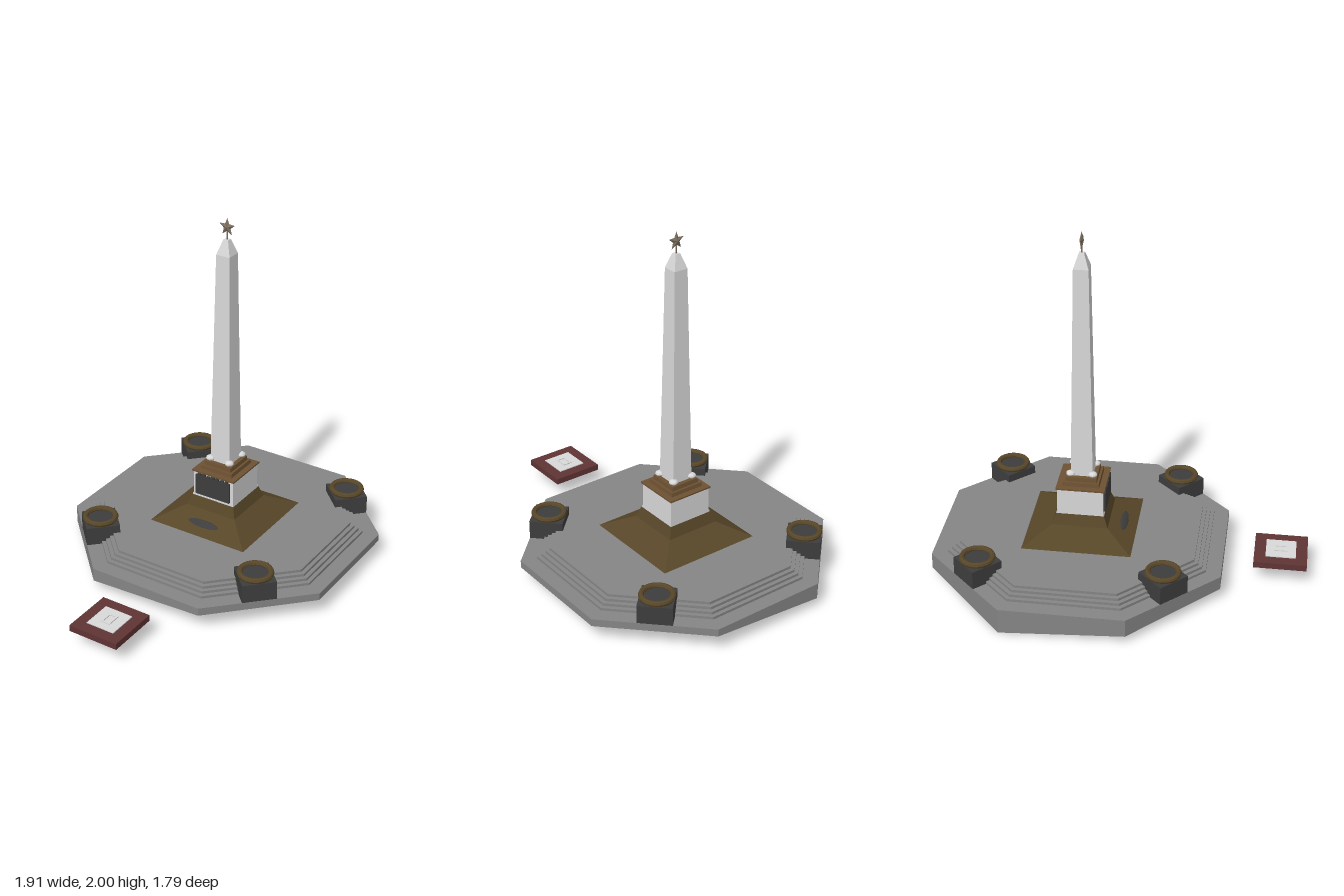
import * as THREE from 'three';

const paint = (name, color) => {
  const m = new THREE.MeshStandardMaterial({ color });
  m.name = name;
  m.flatShading = true;
  m.side = THREE.DoubleSide;
  return m;
};

export function createModel() {
  const stone = paint('grey stone', 0x858585);
  const marble = paint('pale marble', 0xd8d8d8);
  const bronze = paint('dark bronze', 0x574628);
  const cornice = paint('brown cornice', 0x6e5233);
  const dark = paint('dark granite', 0x3d3d3d);
  const red = paint('red granite', 0x603434);
  const metal = paint('star metal', 0x7d7060);

  const root = new THREE.Group();
  root.name = 'obeliskMonument';
  const turn = THREE.MathUtils.degToRad(-4.5);
  const addGroup = (parent, name, x, y, z, ry = 0) => {
    const g = new THREE.Group();
    g.name = name;
    g.position.set(x, y, z);
    g.rotation.y = ry;
    parent.add(g);
    return g;
  };
  const add = (parent, name, geo, mat, x = 0, y = 0, z = 0) => {
    const m = new THREE.Mesh(geo, mat);
    m.name = name;
    m.position.set(x, y, z);
    parent.add(m);
    return m;
  };
  // Closed strip of quads between consecutive rings of points
  const strip = (rings) => {
    const pos = [];
    for (let r = 0; r + 1 < rings.length; r++) {
      const a = rings[r], b = rings[r + 1], n = a.length;
      for (let i = 0; i < n; i++) {
        const j = (i + 1) % n;
        pos.push(...a[i], ...b[i], ...a[j], ...a[j], ...b[i], ...b[j]);
      }
    }
    const g = new THREE.BufferGeometry();
    g.setAttribute('position', new THREE.Float32BufferAttribute(pos, 3));
    g.computeVertexNormals();
    return g;
  };
  // Square tier with its corners on the x and z axes
  const tier = (parent, name, mat, r0, r1, y0, y1, open = false) =>
    add(parent, name, new THREE.CylinderGeometry(r1, r0, y1 - y0, 4, 1, open), mat, 0, (y0 + y1) / 2, 0);

  const main = addGroup(root, 'monument', 0.115, 0, -0.054, turn);

  // Octagonal platform: sloping foot, wall and four steps, open below
  const foot = [0.105, 0.105, 0.105, 0.103, 0.07, 0.045, 0, 0.055];
  const octagon = (r, y) => foot.map((f, i) => {
    const a = THREE.MathUtils.degToRad(Math.floor(i / 2) * 90 + (i % 2 ? 22.1 : -22.1));
    return [r * Math.cos(a), y ?? f, r * Math.sin(a)];
  });
  const rings = [octagon(0.882), octagon(0.882, 0.148)];
  for (let i = 0; i < 4; i++) {
    const r = 0.79 - i * 0.024, y = 0.148 + i * 0.015;
    rings.push(octagon(r, y), octagon(r, y + 0.015));
  }
  add(main, 'steppedPlatform', strip(rings), stone);

  // Platform floor with the opening beneath the hollow base
  const floor = new THREE.Shape(octagon(0.718, 0).map(([x, , z]) => new THREE.Vector2(x, z)));
  const diamond = (r) => [[r, 0], [0, r], [-r, 0], [0, -r]].map(([x, y]) => new THREE.Vector2(x, y));
  floor.holes.push(new THREE.Path(diamond(0.435)));
  add(main, 'platformFloor', new THREE.ShapeGeometry(floor).rotateX(-Math.PI / 2), stone, 0, 0.208, 0);

  // Four corner bowls on blocks
  for (let i = 0; i < 4; i++) {
    const a = i * Math.PI / 2;
    const g = addGroup(main, 'bowlStand', 0.722 * Math.cos(a), 0, 0.722 * Math.sin(a));
    add(g, 'standBlock', new THREE.BoxGeometry(0.19, 0.13, 0.19), dark, 0, 0.19, 0);
    add(g, 'bowlFloor', new THREE.CylinderGeometry(0.082, 0.082, 0.01, 24), dark, 0, 0.259, 0);
    add(g, 'bowlRim', new THREE.TorusGeometry(0.085, 0.016, 8, 24).rotateX(Math.PI / 2), bronze, 0, 0.269, 0);
  }

  // Hollow base, pedestal and cornice
  tier(main, 'slopedBase', bronze, 0.44, 0.225, 0.206, 0.287, true);
  tier(main, 'upperBase', bronze, 0.225, 0.192, 0.287, 0.35, true);
  tier(main, 'plinth', marble, 0.19, 0.19, 0.347, 0.36, true);
  tier(main, 'pedestal', marble, 0.184, 0.184, 0.355, 0.503, true);
  tier(main, 'corniceSlab', cornice, 0.195, 0.195, 0.503, 0.512);
  tier(main, 'corniceMiddle', cornice, 0.147, 0.143, 0.512, 0.535);
  tier(main, 'corniceTop', cornice, 0.125, 0.122, 0.535, 0.56);

  // Obelisk shaft and truncated tip
  tier(main, 'shaft', marble, 0.088, 0.059, 0.56, 1.8, true);
  tier(main, 'shaftTip', marble, 0.059, 0.021, 1.8, 1.882);

  // Rounded feet at the shaft corners
  for (let i = 0; i < 4; i++) {
    const a = i * Math.PI / 2;
    add(main, 'shaftFoot', new THREE.SphereGeometry(0.026, 10, 6).scale(1, 0.6, 1), marble,
      0.088 * Math.cos(a), 0.575, 0.088 * Math.sin(a));
  }

  // Relief panel with an uneven top, and a wreath on the slope below
  const face = addGroup(main, 'memorialFace', 0, 0, 0, -Math.PI / 4);
  add(face, 'reliefPanel', new THREE.BoxGeometry(0.222, 0.122, 0.012), dark, 0, 0.428, 0.136);
  [0.008, 0.014, 0.006, 0.012, 0.015, 0.009, 0.013].forEach((h, i) =>
    add(face, 'reliefFigure', new THREE.BoxGeometry(0.02, h, 0.012), dark, -0.09 + i * 0.03, 0.489 + h / 2, 0.136));
  const wreath = add(face, 'wreath', new THREE.SphereGeometry(1, 16, 8).scale(0.1, 0.006, 0.024),
    dark, 0, 0.246, 0.235);
  wreath.rotation.x = 0.49;

  // Faceted star on a short rod
  add(main, 'starRod', new THREE.CylinderGeometry(0.004, 0.004, 0.05, 8), metal, 0, 1.9, 0);
  const outline = Array.from({ length: 10 }, (_, i) => {
    const r = i % 2 ? 0.022 : 0.05, a = i * Math.PI / 5;
    return [r * Math.sin(a), r * Math.cos(a), 0];
  });
  const apex = (z) => outline.map(() => [0, 0, z]);
  const star = add(main, 'star', strip([apex(-0.012), outline, apex(0.012)]), metal, 0, 1.95, 0);
  star.rotation.y = Math.PI * 0.75;

  // Separate red slab with a pale plate and a small raised frame
  const slab = addGroup(root, 'memorialSlab', -0.745, 0, 0.68, turn);
  const border = new THREE.Shape(diamond(0.211));
  border.holes.push(new THREE.Path(diamond(0.115)));
  add(slab, 'slabBorder', new THREE.ExtrudeGeometry(border, { depth: 0.036, bevelEnabled: false })
    .rotateX(-Math.PI / 2), red, 0, 0.098, 0);
  tier(slab, 'slabPlate', marble, 0.12, 0.12, 0.128, 0.139);
  const rect = (w, h) => [[-w, -h], [w, -h], [w, h], [-w, h]].map(([x, y]) => new THREE.Vector2(x, y));
  const frame = new THREE.Shape(rect(0.04, 0.028));
  frame.holes.push(new THREE.Path(rect(0.03, 0.018)));
  const rim = add(slab, 'slabFrame', new THREE.ExtrudeGeometry(frame, { depth: 0.006, bevelEnabled: false })
    .rotateX(-Math.PI / 2), marble, 0, 0.138, 0);
  rim.rotation.y = Math.PI / 4;

  return root;
}
